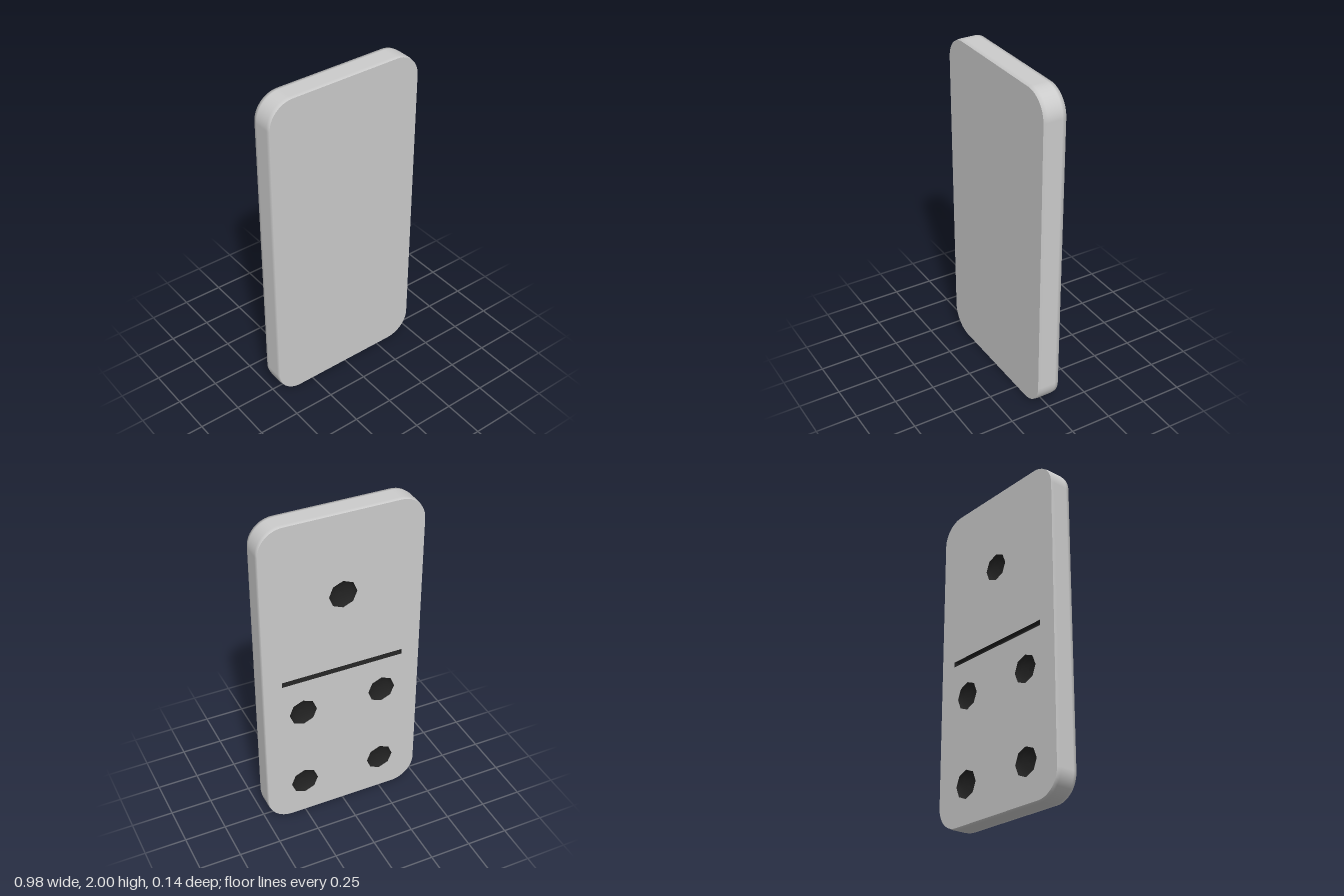
import * as THREE from 'three';

const W = 0.49, H = 1, D = 0.068;   // half sizes of the tile
const R = 0.15, LIP = 0.004;        // corner radius, edge easing
const PIP = 0.085, DEPTH = 0.03;
const BAR_W = 0.75, BAR_H = 0.032;

const grey = new THREE.MeshStandardMaterial({ color: 0xcccccc });
const dark = new THREE.MeshStandardMaterial({ color: 0x222222, side: THREE.DoubleSide });

// Rounded rectangle, counter-clockwise, pulled in by an inset
function outline(inset) {
  const s = new THREE.Shape(), cx = W - R, cy = H - R, r = R - inset;
  [[1, 1], [-1, 1], [-1, -1], [1, -1]].forEach(([x, y], i) =>
    s.absarc(x * cx, y * cy, r, i * Math.PI / 2, (i + 1) * Math.PI / 2, false));
  s.closePath();
  return s;
}

// Rim: four loops whose normals lean towards the faces at the edges
function rimGeometry() {
  const loops = [[-D, LIP, -1], [-D + 0.024, 0, 0], [D - 0.024, 0, 0], [D, LIP, 1]];
  const pos = [], nor = [], idx = [];
  let n = 0;
  loops.forEach(([z, inset, lean]) => {
    const pts = outline(inset).getPoints(6);
    n = pts.length;
    pts.forEach(p => {
      const out = new THREE.Vector3(
        p.x - THREE.MathUtils.clamp(p.x, R - W, W - R),
        p.y - THREE.MathUtils.clamp(p.y, R - H, H - R), 0).normalize();
      out.z = lean;
      out.normalize();
      pos.push(p.x, p.y, z);
      nor.push(out.x, out.y, out.z);
    });
  });
  for (let k = 0; k < loops.length - 1; k++) {
    for (let i = 0; i < n; i++) {
      const j = (i + 1) % n, a = k * n + i, b = k * n + j;
      idx.push(a, b, b + n, a, b + n, a + n);
    }
  }
  const g = new THREE.BufferGeometry();
  g.setAttribute('position', new THREE.Float32BufferAttribute(pos, 3));
  g.setAttribute('normal', new THREE.Float32BufferAttribute(nor, 3));
  g.setIndex(idx);
  return g;
}

function add(parent, name, geometry, material) {
  const m = new THREE.Mesh(geometry, material);
  m.name = name;
  parent.add(m);
  return m;
}

export function createModel() {
  const model = new THREE.Group();
  model.name = 'dominoTile';
  const tile = new THREE.Group();
  tile.name = 'tile';
  tile.position.y = H;
  model.add(tile);

  add(tile, 'rim', rimGeometry(), grey);
  add(tile, 'plainFace', new THREE.ShapeGeometry(outline(LIP), 6), grey).position.z = D;

  // Marked face, turned to the back
  const marked = new THREE.Group();
  marked.name = 'markedSide';
  marked.rotation.y = Math.PI;
  tile.add(marked);
  const face = outline(LIP);

  // Octagonal dished pips: one above, four below
  const profile = [0, 0.25, 0.5, 0.75, 1].map(t => new THREE.Vector2(
    PIP * Math.sin(t * Math.PI / 2), -DEPTH * Math.cos(t * Math.PI / 2)));
  const dish = new THREE.LatheGeometry(profile, 8).rotateX(Math.PI / 2);
  const spots = [[0, 0.5], [-0.25, -0.235], [0.25, -0.235], [-0.25, -0.765], [0.25, -0.765]];
  for (const [x, y] of spots) {
    const hole = [];
    for (let i = 0; i < 8; i++) {
      const a = -i * Math.PI / 4;
      hole.push(new THREE.Vector2(x + PIP * Math.cos(a), y + PIP * Math.sin(a)));
    }
    face.holes.push(new THREE.Path(hole));
    add(marked, 'pip', dish, dark).position.set(x, y, D);
  }

  // Dividing groove: a box without its outer side
  const w = BAR_W / 2, h = BAR_H / 2;
  face.holes.push(new THREE.Path([[-w, -h], [-w, h], [w, h], [w, -h]].map(p => new THREE.Vector2(...p))));
  const groove = new THREE.BoxGeometry(BAR_W, BAR_H, DEPTH);
  const index = Array.from(groove.index.array);
  index.splice(24, 6);
  groove.clearGroups();
  groove.setIndex(index);
  add(marked, 'dividingGroove', groove, dark).position.z = D - DEPTH / 2;

  add(marked, 'markedFace', new THREE.ShapeGeometry(face, 6), grey).position.z = D;
  return model;
}
